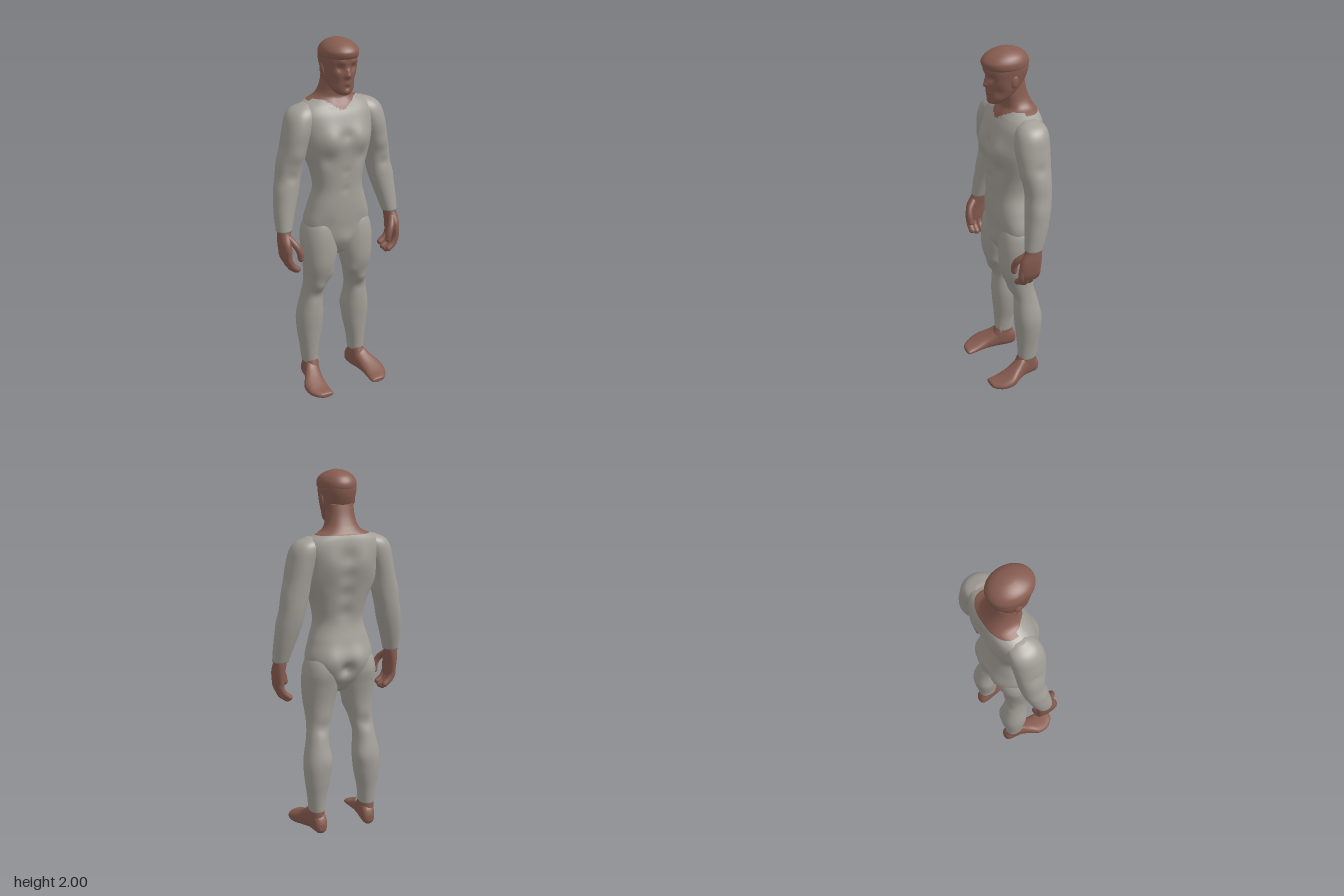
import * as THREE from 'three';

const suit = new THREE.MeshStandardMaterial({ color: 0xa39f98 });
suit.name = 'suitGrey';
const skin = new THREE.MeshStandardMaterial({ color: 0x875c50 });
skin.name = 'skinBrown';

// Catmull-Rom interpolation of one number
const spline = (a, b, c, d, t) =>
  0.5 * (2 * b + (c - a) * t + (2 * a - 5 * b + 4 * c - d) * t * t + (3 * b - a - 3 * c + d) * t ** 3);

// Closed smooth body from sections [along, centreX, radiusX, high, low].
// Axis 'y': high/low are front/back z, listed upwards. Axis 'z': they are top/bottom y, listed toe to heel.
function loft(sections, { side = 1, axis = 'y', segs = 48, steps = 8, power = 0.92 } = {}) {
  const n = sections.length, pos = [], idx = [];
  const put = (x, cross, along) => (axis === 'y' ? pos.push(x, along, cross) : pos.push(x, cross, along));
  const at = (i) => sections[Math.min(n - 1, Math.max(0, i))];
  const rings = (n - 1) * steps + 1;
  const soft = (v) => Math.sign(v) * Math.abs(v) ** power;
  for (let k = 0; k < rings; k++) {
    const i = Math.min(n - 2, Math.floor(k / steps)), t = k / steps - i;
    const [along, cx, rx, hi, lo] = at(i).map((_, q) => spline(at(i - 1)[q], at(i)[q], at(i + 1)[q], at(i + 2)[q], t));
    for (let j = 0; j < segs; j++) {
      const a = (j / segs) * Math.PI * 2;
      put(side * cx + rx * soft(Math.cos(a)), (hi + lo) / 2 + ((hi - lo) / 2) * soft(Math.sin(a)), along);
    }
  }
  for (const s of [sections[0], sections[n - 1]]) put(side * s[1], (s[3] + s[4]) / 2, s[0]);
  const low = rings * segs, high = low + 1, last = (rings - 1) * segs;
  for (let j = 0; j < segs; j++) {
    const j2 = (j + 1) % segs;
    for (let k = 0; k < rings - 1; k++) {
      const a = k * segs + j, b = k * segs + j2;
      idx.push(a, a + segs, b, b, a + segs, b + segs);
    }
    idx.push(low, j, j2, high, last + j2, last + j);
  }
  const g = new THREE.BufferGeometry();
  g.setAttribute('position', new THREE.Float32BufferAttribute(pos, 3));
  g.setIndex(idx);
  g.computeVertexNormals();
  return g;
}

// Push the surface around soft points [x, y, z, radius, pushX, pushZ]
function sculpt(g, bumps, signs = [1, -1]) {
  const p = g.attributes.position;
  for (let i = 0; i < p.count; i++) {
    const x = p.getX(i), y = p.getY(i), z = p.getZ(i);
    let dx = 0, dz = 0;
    for (const [bx, by, bz, r, px, pz] of bumps) {
      for (const s of bx === 0 ? [1] : signs) {
        const w = Math.exp(-((x - s * bx) ** 2 + (y - by) ** 2 + (z - bz) ** 2) / (r * r));
        dx += s * px * w;
        dz += pz * w;
      }
    }
    p.setXYZ(i, x + dx, y, z + dz);
  }
  g.computeVertexNormals();
  return g;
}

// Split a body into skin above the neckline and suit below it
function splitAtNeckline(g) {
  const p = g.attributes.position, idx = g.index.array, above = [], below = [];
  for (let i = 0; i < idx.length; i += 3) {
    const tri = [idx[i], idx[i + 1], idx[i + 2]];
    const mean = (f) => tri.reduce((s, v) => s + p[f](v), 0) / 3;
    const x = Math.abs(mean('getX')), line = mean('getZ') > -0.05 ? Math.min(1.685, 1.625 + 0.65 * x) : 1.675;
    (mean('getY') > line ? above : below).push(...tri);
  }
  g.setIndex([...above, ...below]);
  g.addGroup(0, above.length, 0);
  g.addGroup(above.length, below.length, 1);
  return g;
}

export function createModel() {
  const model = new THREE.Group();
  model.name = 'standingMan';
  const add = (name, geometry, material, parent = model) => {
    const m = new THREE.Mesh(geometry, material);
    m.name = name;
    parent.add(m);
    return m;
  };

  // Torso and neck
  const torso = loft([
    [0.8, 0, 0.025, 0, -0.05], [0.83, 0, 0.07, 0.04, -0.09], [0.9, 0, 0.15, 0.068, -0.135],
    [1.0, 0, 0.19, 0.082, -0.145], [1.1, 0, 0.168, 0.086, -0.135], [1.2, 0, 0.14, 0.084, -0.118],
    [1.29, 0, 0.152, 0.086, -0.13], [1.39, 0, 0.182, 0.09, -0.15], [1.46, 0, 0.2, 0.092, -0.165],
    [1.53, 0, 0.21, 0.085, -0.17], [1.6, 0, 0.22, 0.066, -0.17], [1.645, 0, 0.2, 0.042, -0.165],
    [1.675, 0, 0.15, 0.02, -0.157], [1.695, 0, 0.108, 0.012, -0.147], [1.725, 0, 0.086, 0.016, -0.132],
    [1.77, 0, 0.076, 0.02, -0.115], [1.83, 0, 0.07, 0, -0.1],
  ], { segs: 80, power: 0.86 });
  sculpt(torso, [
    [0.09, 1.48, 0.09, 0.07, 0, 0.024], [0, 1.5, 0.1, 0.03, 0, -0.012], // chest
    [0.1, 1.37, 0.085, 0.04, 0, -0.01], [0, 1.3, 0.09, 0.02, 0, -0.006], [0, 1.2, 0.09, 0.02, 0, -0.006],
    [0.09, 1.53, -0.16, 0.07, 0, -0.012], [0.16, 1.42, -0.08, 0.06, 0.01, 0], // upper back
    [0, 1.56, -0.17, 0.045, 0, 0.014], [0, 1.46, -0.16, 0.045, 0, 0.014],
    [0, 1.36, -0.15, 0.045, 0, 0.014], [0, 1.26, -0.13, 0.045, 0, 0.012], // spine
    [0.08, 0.99, -0.14, 0.075, 0, -0.024], [0, 0.95, -0.15, 0.035, 0, 0.035], // seat
    [0.11, 1.0, 0.07, 0.05, 0, -0.008], [0, 0.91, 0.065, 0.045, 0, 0.012],
    [0.04, 1.67, 0.02, 0.03, 0, 0.006],
  ]);
  add('torsoAndNeck', splitAtNeckline(torso), [skin, suit]);

  // Head
  const head = loft([
    [1.715, 0, 0.022, 0.078, 0.035], [1.725, 0, 0.042, 0.086, 0.012], [1.755, 0, 0.066, 0.092, -0.035],
    [1.8, 0, 0.082, 0.096, -0.085], [1.85, 0, 0.09, 0.1, -0.112], [1.9, 0, 0.096, 0.104, -0.125],
    [1.94, 0, 0.09, 0.1, -0.12], [1.97, 0, 0.06, 0.06, -0.085], [1.985, 0, 0.02, 0.02, -0.04],
  ], { segs: 96, steps: 10 });
  sculpt(head, [
    [0, 1.82, 0.1, 0.017, 0, 0.02], [0, 1.845, 0.1, 0.014, 0, 0.009], // nose
    [0.038, 1.86, 0.092, 0.02, 0, -0.014], [0.035, 1.89, 0.1, 0.018, 0, 0.006], // eyes and brows
    [0, 1.778, 0.095, 0.018, 0, 0.007], [0, 1.757, 0.092, 0.012, 0, -0.005], // mouth
    [0, 1.734, 0.087, 0.02, 0, 0.008], [0.065, 1.79, 0.06, 0.03, -0.006, -0.004], // chin and cheeks
  ]);
  add('head', head, skin);
  add('hair', loft([
    [1.9, 0, 0.088, 0.09, -0.118], [1.908, 0, 0.097, 0.11, -0.126], [1.925, 0, 0.1, 0.119, -0.128],
    [1.945, 0, 0.097, 0.117, -0.123], [1.968, 0, 0.083, 0.094, -0.106], [1.986, 0, 0.058, 0.06, -0.078],
    [1.997, 0, 0.028, 0.025, -0.043], [2.0, 0, 0.004, 0, -0.01],
  ], { segs: 64, power: 0.97 }), skin);

  for (const side of [1, -1]) {
    const label = side > 0 ? 'left' : 'right';

    const ear = add(label + 'Ear', new THREE.SphereGeometry(1, 20, 14), skin);
    ear.scale.set(0.01, 0.033, 0.02);
    ear.position.set(side * 0.09, 1.845, -0.015);
    ear.rotation.x = -0.15;

    // Arm
    const arm = loft([
      [1.0, 0.33, 0.042, 0.04, -0.055], [1.1, 0.314, 0.057, 0.03, -0.088], [1.2, 0.293, 0.068, 0.02, -0.113],
      [1.28, 0.277, 0.069, 0.014, -0.125], [1.36, 0.262, 0.074, 0.018, -0.13], [1.45, 0.243, 0.071, 0.036, -0.135],
      [1.53, 0.222, 0.076, 0.044, -0.14], [1.6, 0.2, 0.08, 0.034, -0.14], [1.64, 0.188, 0.06, 0.01, -0.125],
      [1.665, 0.17, 0.02, -0.03, -0.085],
    ], { side });
    sculpt(arm, [
      [0.3, 1.44, -0.05, 0.03, -0.008, 0], [0.25, 1.4, 0.03, 0.04, 0, 0.008],
      [0.28, 1.29, 0.015, 0.03, 0, -0.008], [0.33, 1.22, -0.02, 0.05, 0.006, 0],
    ], [side]);
    add(label + 'Arm', arm, suit);

    // Hand with curled fingers
    const hand = new THREE.Group();
    hand.name = label + 'Hand';
    model.add(hand);
    add('palm', loft([
      [0.82, 0.33, 0.013, 0.065, -0.035], [0.86, 0.335, 0.024, 0.078, -0.044], [0.93, 0.337, 0.031, 0.072, -0.05],
      [0.99, 0.332, 0.034, 0.042, -0.05], [1.03, 0.33, 0.035, 0.03, -0.045],
    ], { side, segs: 32 }), skin, hand);
    const digit = (name, points, r) => {
      const path = new THREE.CatmullRomCurve3(points.map(([x, y, z]) => new THREE.Vector3(side * x, y, z)));
      add(name, new THREE.TubeGeometry(path, 16, r, 12), skin, hand);
      add(name + 'Tip', new THREE.SphereGeometry(r, 12, 8), skin, hand).position.copy(path.getPoint(1));
    };
    [-0.028, 0.003, 0.034, 0.063].forEach((z, i) => {
      const drop = [0.02, 0.004, 0, 0.012][i];
      digit('finger' + (i + 1), [[0.336, 0.9, z], [0.334, 0.85, z], [0.316, 0.8 + drop, z], [0.288, 0.777 + drop, z]], 0.0175);
    });
    digit('thumb', [[0.325, 0.97, 0.03], [0.298, 0.93, 0.07], [0.28, 0.89, 0.08], [0.274, 0.855, 0.078]], 0.0175);

    // Leg
    const leg = loft([
      [0.13, 0.153, 0.043, -0.018, -0.13], [0.22, 0.153, 0.052, -0.014, -0.138], [0.33, 0.149, 0.071, -0.006, -0.152],
      [0.43, 0.147, 0.076, 0.002, -0.154], [0.55, 0.14, 0.062, 0.004, -0.13], [0.62, 0.13, 0.064, 0.02, -0.115],
      [0.68, 0.123, 0.07, 0.048, -0.114], [0.76, 0.115, 0.087, 0.073, -0.116], [0.85, 0.109, 0.1, 0.078, -0.13],
      [0.93, 0.107, 0.1, 0.074, -0.145], [1.0, 0.1, 0.088, 0.06, -0.135], [1.06, 0.09, 0.05, 0.03, -0.1],
    ], { side });
    sculpt(leg, [
      [0.13, 0.63, 0.02, 0.035, 0, 0.014], [0.075, 0.7, 0.03, 0.04, -0.012, 0.006], // knee
      [0.14, 0.56, 0, 0.03, 0, -0.006], [0.1, 0.43, -0.12, 0.05, -0.006, -0.006], // calf
      [0.12, 0.62, -0.115, 0.04, 0, 0.008],
    ], [side]);
    add(label + 'Leg', leg, suit);

    // Bare foot and ankle
    add(label + 'Foot', loft([
      [0.177, 0.158, 0.018, 0.03, 0.014], [0.168, 0.17, 0.042, 0.038, 0.008], [0.12, 0.188, 0.06, 0.052, 0.003],
      [0.06, 0.191, 0.063, 0.08, 0.002], [0.01, 0.175, 0.053, 0.11, 0.003], [-0.04, 0.158, 0.044, 0.145, 0.004],
      [-0.09, 0.15, 0.041, 0.14, 0.002], [-0.13, 0.147, 0.034, 0.1, 0.006], [-0.145, 0.147, 0.015, 0.065, 0.025],
    ], { side, axis: 'z', segs: 40, power: 0.85 }), skin);
    add(label + 'Ankle', loft([
      [0.04, 0.152, 0.036, 0.01, -0.13], [0.09, 0.153, 0.042, 0.006, -0.13], [0.16, 0.153, 0.039, -0.022, -0.125],
    ], { side, segs: 32 }), skin);
  }

  // Loose corner of the right trouser hem
  const flap = new THREE.ConeGeometry(0.02, 0.06, 10);
  flap.scale(1, 1, 0.35);
  const hem = add('hemFlap', flap, suit);
  hem.position.set(-0.118, 0.132, -0.035);
  hem.rotation.z = -2.5;
  return model;
}
